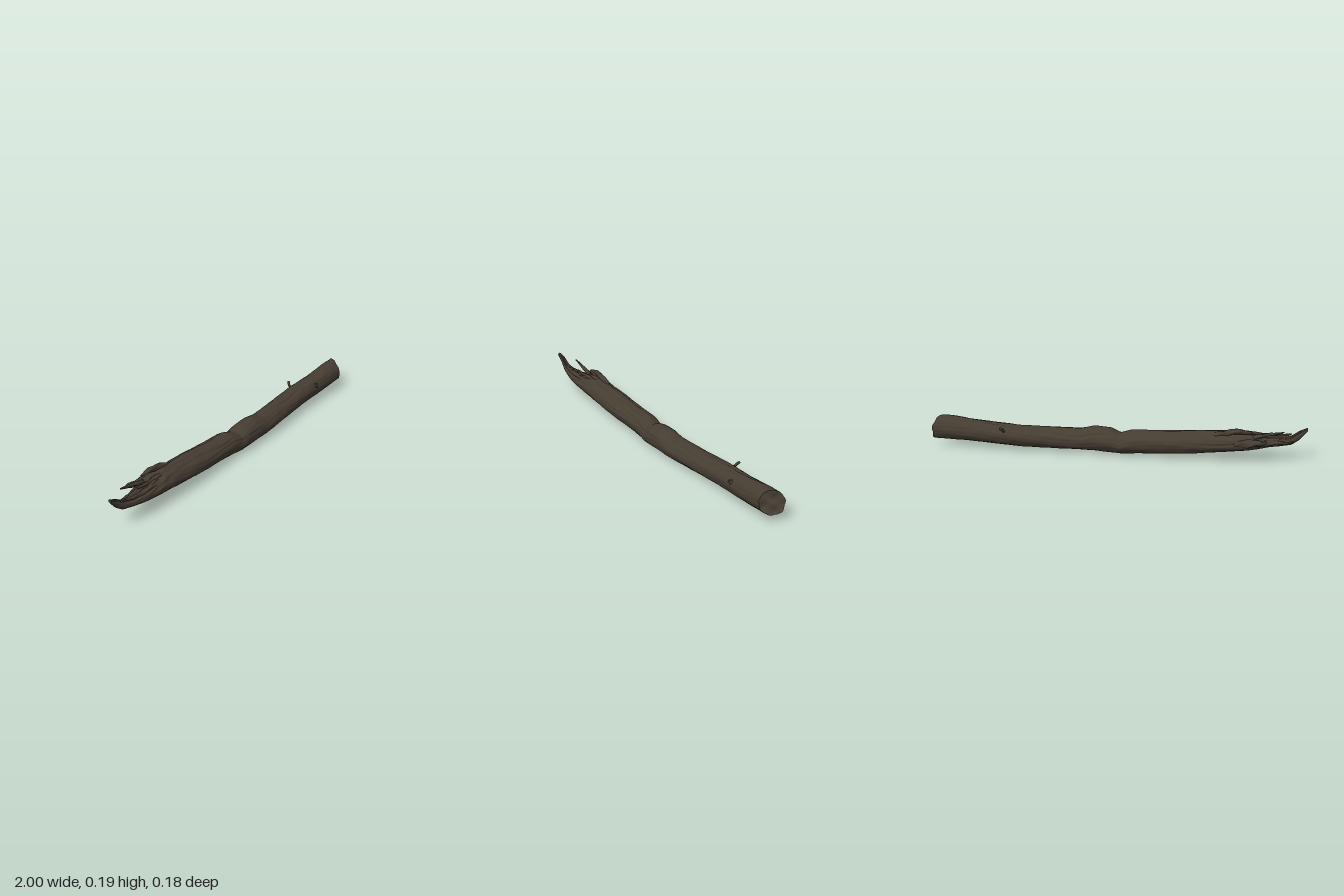
import * as THREE from 'three';

// Log cross-sections: x, bottom, top, back z, front z
const LOG = [
  [-1, 0.172, 0.19, -0.004, 0.014], [-0.96, 0.125, 0.172, -0.015, 0.014], [-0.92, 0.096, 0.145, -0.018, 0.022],
  [-0.86, 0.084, 0.134, -0.025, 0.036], [-0.8, 0.076, 0.138, -0.038, 0.05], [-0.74, 0.066, 0.14, -0.062, 0.055],
  [-0.69, 0.06, 0.15, -0.078, 0.06], [-0.6, 0.05, 0.16, -0.083, 0.064], [-0.5, 0.04, 0.154, -0.08, 0.067],
  [-0.4, 0.03, 0.15, -0.079, 0.069], [-0.3, 0.022, 0.142, -0.075, 0.069], [-0.2, 0.017, 0.139, -0.07, 0.067],
  [-0.08, 0.01, 0.136, -0.064, 0.07], [-0.02, 0.004, 0.114, -0.058, 0.075], [0.03, 0.006, 0.137, -0.055, 0.079],
  [0.12, 0.011, 0.142, -0.053, 0.083], [0.2, 0.014, 0.126, -0.052, 0.084], [0.4, 0.019, 0.131, -0.055, 0.077],
  [0.5, 0.02, 0.132, -0.06, 0.071], [0.6, 0.025, 0.14, -0.06, 0.068], [0.7, 0.03, 0.146, -0.052, 0.07],
  [0.8, 0.035, 0.155, -0.045, 0.075], [0.9, 0.038, 0.166, -0.041, 0.077], [0.985, 0.04, 0.168, -0.038, 0.077],
];

// Long cracks in the bark: angle from the top, start x, end x, depth
const CRACKS = [
  [0.15, -0.75, -0.2, 0.008], [0.75, -0.6, 0.0, 0.006], [-0.5, -0.7, -0.05, 0.008], [0.4, 0.1, 0.9, 0.005],
  [1.2, -0.5, 0.4, 0.004], [-0.9, -0.1, 0.5, 0.006], [-0.25, 0.45, 0.97, 0.005], [-1.5, -0.8, -0.3, 0.005],
];

function section(rows, x) {
  let i = 0;
  while (i < rows.length - 2 && x > rows[i + 1][0]) i++;
  const t = (x - rows[i][0]) / (rows[i + 1][0] - rows[i][0]);
  return rows[i].map((v, k) => v + (rows[i + 1][k] - v) * t);
}

// Grain and lumps as a fraction of the radius
function grain(x, a) {
  const torn = THREE.MathUtils.smoothstep(-x, 0.45, 0.8) * Math.max(0, Math.cos(a));
  return 0.016 * Math.sin(3 * a + 9 * x) + 0.013 * Math.sin(7 * a - 14 * x + 1)
    + 0.009 * Math.sin(17 * a + 5 * Math.sin(6 * x)) + 0.006 * Math.sin(5 * a + 53 * x)
    + torn * (0.09 * Math.sin(11 * a + 21 * x) + 0.07 * Math.sin(4 * a + 71 * x) - 0.03);
}

function crackDepth(x, a) {
  let d = 0;
  for (const [angle, x0, x1, depth] of CRACKS) {
    if (x < x0 || x > x1) continue;
    const da = a - angle - 0.12 * Math.sin(x * 13 + angle * 5);
    d += depth * Math.sin(Math.PI * (x - x0) / (x1 - x0)) * Math.exp(-((da / 0.09) ** 2));
  }
  return d;
}

// Sawn end slopes forward on the back side
const endX = (y, z) => 0.978 - 0.5 * z - 0.13 * (y - 0.1) + 0.004 * Math.sin(90 * y) * Math.sin(70 * z + 1);

function logPoint(x, a) {
  const [, y0, y1, z0, z1] = section(LOG, x);
  const r = 1 + grain(x, a);
  const d = crackDepth(x, a);
  const y = (y0 + y1) / 2 + ((y1 - y0) / 2 * r - d) * Math.cos(a);
  const z = (z0 + z1) / 2 + ((z1 - z0) / 2 * r - d) * Math.sin(a);
  const w = THREE.MathUtils.clamp((x - 0.8) / 0.185, 0, 1);
  return [x + (endX(y, z) - 0.985) * w, y, z];
}

// Joins closed rings into one smooth skin
function skin(rings, count, pointAt) {
  const pos = [], index = [];
  for (let i = 0; i < rings; i++) for (let j = 0; j < count; j++) {
    const a = j / count * Math.PI * 2;
    pos.push(...pointAt(i, a > Math.PI ? a - Math.PI * 2 : a));
    if (i === rings - 1) continue;
    const p = i * count + j, q = i * count + (j + 1) % count;
    index.push(p, q, p + count, q, q + count, p + count);
  }
  const g = new THREE.BufferGeometry();
  g.setAttribute('position', new THREE.Float32BufferAttribute(pos, 3));
  g.setIndex(index);
  g.computeVertexNormals();
  return g;
}

export function createModel() {
  const group = new THREE.Group();
  const bark = new THREE.MeshStandardMaterial({ color: 0x463d32, side: THREE.DoubleSide });
  const wood = new THREE.MeshStandardMaterial({ color: 0x4a4237, side: THREE.DoubleSide });
  const add = (name, geometry, material) => {
    const mesh = new THREE.Mesh(geometry, material);
    mesh.name = name;
    group.add(mesh);
    return mesh;
  };

  // Trunk
  const N = 240, SIDES = 72;
  add('trunk', skin(N + 1, SIDES, (i, a) => logPoint(-1 + 1.985 * i / N, a)), bark);

  // End faces
  const cy = 0.104, cz = 0.02;
  add('cutEnd', skin(9, SIDES, (i, a) => {
    const p = logPoint(0.985, a), t = 1 - i / 8;
    const y = cy + (p[1] - cy) * t, z = cz + (p[2] - cz) * t;
    return [endX(y, z) - 0.006 * Math.sin(Math.PI * t), y, z];
  }), wood);
  add('brokenTip', skin(2, SIDES, (i, a) => (i ? [-1, 0.181, 0.005] : logPoint(-1, a)).slice()), wood);

  // Splinters left by the break: x, y, z, radius along each
  const splinters = [
    [[-0.88, 0.175, -0.036, 0.003], [-0.85, 0.165, -0.04, 0.006], [-0.8, 0.158, -0.034, 0.008], [-0.72, 0.135, -0.035, 0.014]],
    [[-0.79, 0.128, -0.08, 0.006], [-0.765, 0.122, -0.079, 0.013], [-0.71, 0.115, -0.07, 0.02], [-0.62, 0.105, -0.055, 0.025]],
    [[-0.72, 0.165, -0.045, 0.004], [-0.66, 0.17, -0.042, 0.013], [-0.61, 0.165, -0.04, 0.015], [-0.52, 0.14, -0.035, 0.014]],
    [[-0.92, 0.148, 0.018, 0.003], [-0.86, 0.135, 0.02, 0.009], [-0.78, 0.132, 0.025, 0.012], [-0.66, 0.13, 0.03, 0.014]],
    [[-0.93, 0.118, -0.03, 0.002], [-0.88, 0.112, -0.028, 0.008], [-0.8, 0.11, -0.035, 0.014], [-0.7, 0.11, -0.045, 0.016]],
    [[-0.8, 0.148, 0.0, 0.003], [-0.75, 0.146, 0.002, 0.008], [-0.68, 0.15, 0.005, 0.01], [-0.6, 0.145, 0.008, 0.012]],
  ];
  for (const rows of splinters) {
    const x0 = rows[0][0], x1 = rows[3][0];
    add('splinter', skin(26, 10, (i, a) => {
      const t = Math.max(0, i - 1) / 24;
      const [x, y, z, r] = section(rows, x0 + (x1 - x0) * t);
      const s = i === 0 ? 0 : r * (1 + 0.2 * Math.sin(3 * a + 60 * x));
      return [x, y + s * Math.cos(a), z + s * Math.sin(a)];
    }), bark);
  }

  // Short twig stub on the back
  const twig = new THREE.CatmullRomCurve3([
    new THREE.Vector3(0.6, 0.1, -0.035), new THREE.Vector3(0.602, 0.122, -0.055), new THREE.Vector3(0.612, 0.135, -0.066),
  ]);
  add('twigStub', new THREE.TubeGeometry(twig, 8, 0.007, 8), bark);
  const tip = add('twigTip', new THREE.SphereGeometry(0.0075, 8, 6), bark);
  tip.position.copy(twig.getPoint(1));

  // Small knot on the upper front
  const knot = add('knot', new THREE.TorusGeometry(0.011, 0.004, 8, 16), bark);
  knot.position.set(0.71, 0.112, 0.062);
  knot.rotation.x = -0.45;

  return group;
}
